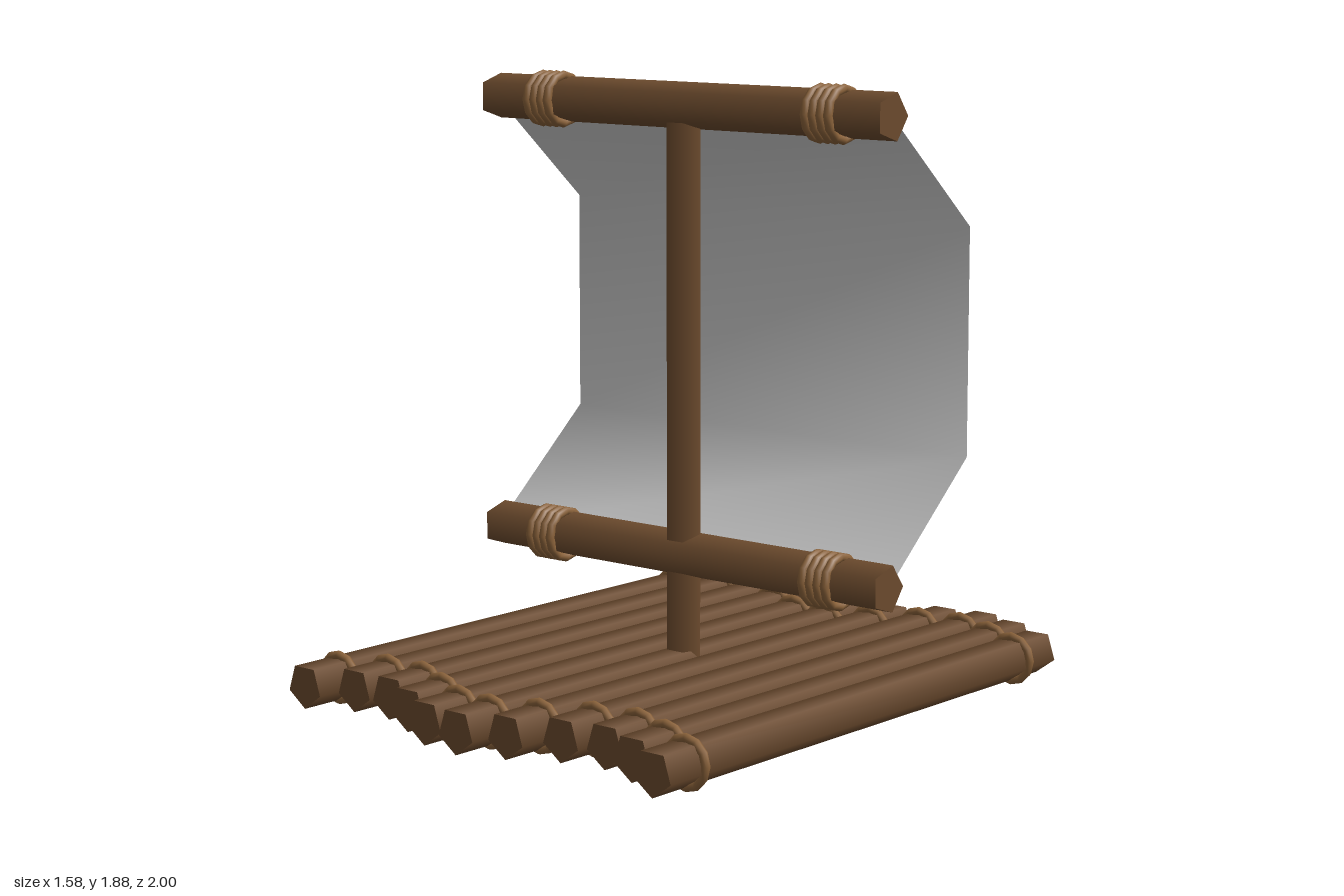
import * as THREE from 'three';

const wood = new THREE.MeshStandardMaterial({ color: 0x6b4a2d });
const rope = new THREE.MeshStandardMaterial({ color: 0x8a623a });
const cloth = new THREE.MeshStandardMaterial({ color: 0xcccccc, side: THREE.DoubleSide });

const YARD_HEIGHTS = [0.432, 1.797];
const SAIL_WIDTH = 1.545;

// Five-sided, smooth-shaded pole along y, with one ridge facing -z
function pole(radius, length, turn = Math.PI) {
  return new THREE.CylinderGeometry(radius, radius, length, 5, 1, false, turn);
}

function add(parent, name, geometry, material, x = 0, y = 0, z = 0) {
  const mesh = new THREE.Mesh(geometry, material);
  mesh.name = name;
  mesh.position.set(x, y, z);
  parent.add(mesh);
  return mesh;
}

// Staggered logs side by side, each with a rope ring near both ends
function createDeck() {
  const deck = new THREE.Group();
  deck.name = 'deck';
  const logGeometry = pole(0.0695, 1.84, 0).rotateX(Math.PI / 2);
  const ringGeometry = new THREE.TorusGeometry(0.07, 0.013, 8, 12);
  for (let i = 0; i < 11; i++) {
    const x = (i - 5) * 0.141;
    const z = -0.081 * Math.sin(i);
    add(deck, 'deckLog', logGeometry, wood, x, 0.083, z);
    for (const end of [-1, 1]) {
      add(deck, 'deckRope', ringGeometry, rope, x, 0.083, z + end * 0.778);
    }
  }
  return deck;
}

// Horizontal spar with two four-turn rope lashings
function createYard(y) {
  const yard = new THREE.Group();
  yard.name = 'yard';
  yard.position.y = y;
  add(yard, 'spar', pole(0.0735, SAIL_WIDTH).rotateZ(Math.PI / 2), wood);
  const ringGeometry = new THREE.TorusGeometry(0.074, 0.014, 8, 12).rotateY(Math.PI / 2);
  for (const start of [-0.571, 0.514]) {
    for (let i = 0; i < 4; i++) {
      add(yard, 'yardRope', ringGeometry, rope, start + i * 0.028);
    }
  }
  return yard;
}

// Sheet bellied out towards the back, stretched between the two yards
function createSailGeometry() {
  const profile = [[YARD_HEIGHTS[0], 0], [0.77, -0.385], [1.457, -0.385], [YARD_HEIGHTS[1], 0]];
  const geometry = new THREE.PlaneGeometry(SAIL_WIDTH, 1, 1, profile.length - 1);
  const position = geometry.attributes.position;
  for (let i = 0; i < position.count; i++) {
    const [y, z] = profile[profile.length - 1 - Math.floor(i / 2)];
    position.setY(i, y);
    position.setZ(i, z);
  }
  geometry.computeVertexNormals();
  return geometry;
}

export function createModel() {
  const raft = new THREE.Group();
  raft.name = 'raft';
  raft.add(createDeck());
  add(raft, 'mast', pole(0.0535, 1.7), wood, 0, 0.93, 0);
  for (const y of YARD_HEIGHTS) raft.add(createYard(y));
  add(raft, 'sail', createSailGeometry(), cloth);
  return raft;
}
